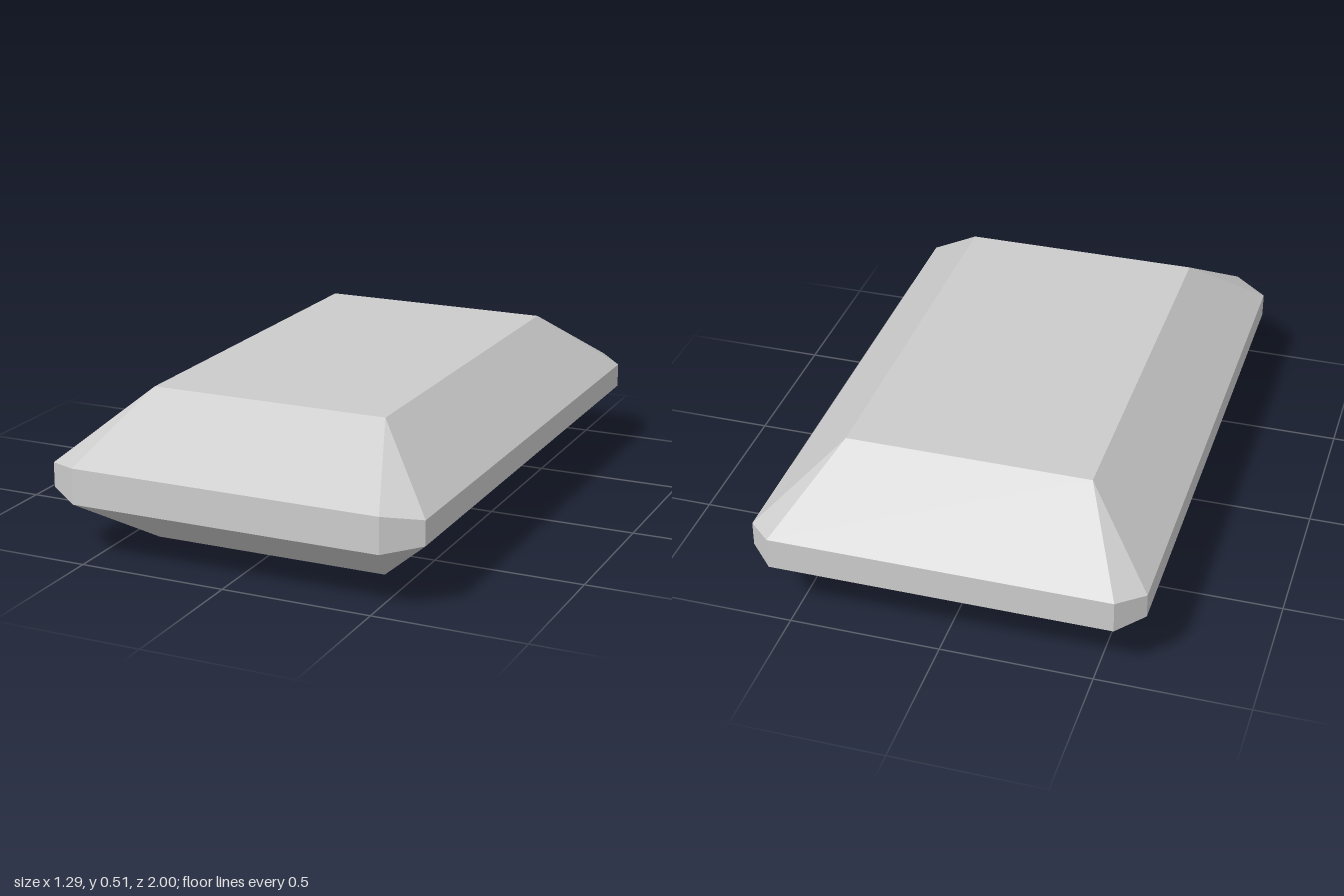
import * as THREE from 'three';
import { ConvexGeometry } from 'three/addons/geometries/ConvexGeometry.js';

const HEIGHT = 0.515;

// Corner points of one quarter, as [x, height from mid-plane, z]; mirrored left/right and up/down
const corners = [
  [0.405, HEIGHT / 2, 0.68],    // flat face, front
  [0.643, 0.041, 0.922],        // side of the girdle, front
  [0.527, 0.06, 1],             // end of the girdle, front
  [0.405, HEIGHT / 2, -0.68],   // flat face, back
  [0.643, 0.041, -0.917],       // side of the girdle, back
  [0.56, 0.053, -1],            // end of the girdle, back
];

export function createModel() {
  const group = new THREE.Group();
  group.name = 'bevelledIngot';

  const points = [];
  for (const [x, h, z] of corners)
    for (const sx of [1, -1])
      for (const sy of [1, -1])
        points.push(new THREE.Vector3(sx * x, HEIGHT / 2 + sy * h, z));

  // Faceted slab: flat top and bottom, sloping bevels, narrow girdle with clipped corners
  const material = new THREE.MeshStandardMaterial({ color: 0xcccccc, flatShading: true });
  const slab = new THREE.Mesh(new ConvexGeometry(points), material);
  slab.name = 'facetedSlab';
  group.add(slab);
  return group;
}
